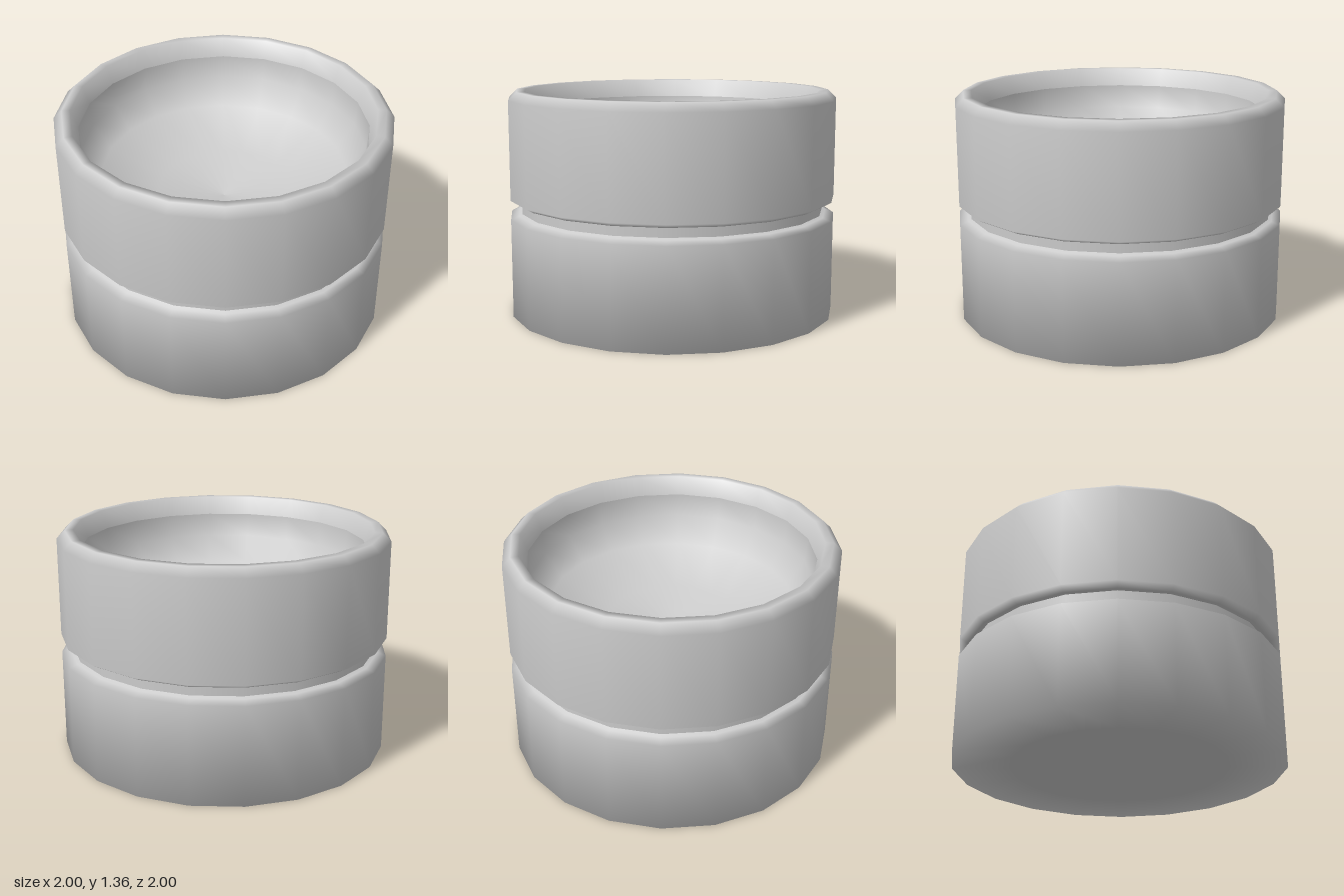
import * as THREE from 'three';

const SIDES = 20;

// Turns a list of [radius, height] points into a smooth 20-sided part.
function turned(name, profile, material) {
  const points = profile.map(([r, y]) => new THREE.Vector2(r, y));
  const mesh = new THREE.Mesh(new THREE.LatheGeometry(points, SIDES), material);
  mesh.name = name;
  return mesh;
}

export function createModel() {
  const group = new THREE.Group();
  group.name = 'groovedPot';
  const material = new THREE.MeshStandardMaterial({ color: 0xcccccc });

  // Lower drum: flat underside, straight wall, rounded shoulder into the groove
  group.add(turned('lowerBody', [
    [0, 0], [0.65, 0], [1, 0],
    [1, 0.6], [0.95, 0.62], [0.93, 0.63],
  ], material));

  // Groove between the two drums
  group.add(turned('groove', [[0.93, 0.63], [0.93, 0.69]], material));

  // Upper drum: rounded lower edge, straight wall, bevelled rim and inner lip
  group.add(turned('upperBody', [
    [0.93, 0.69], [0.955, 0.69], [1, 0.715],
    [1, 1.31], [0.95, 1.36], [0.9, 1.36], [0.86, 1.25],
  ], material));

  // Hollow inside: steep below the lip, then a shallow dish
  group.add(turned('innerBowl', [
    [0.86, 1.25], [0.85, 1.1], [0.74, 0.95], [0.4, 0.81], [0, 0.75],
  ], material));

  return group;
}
